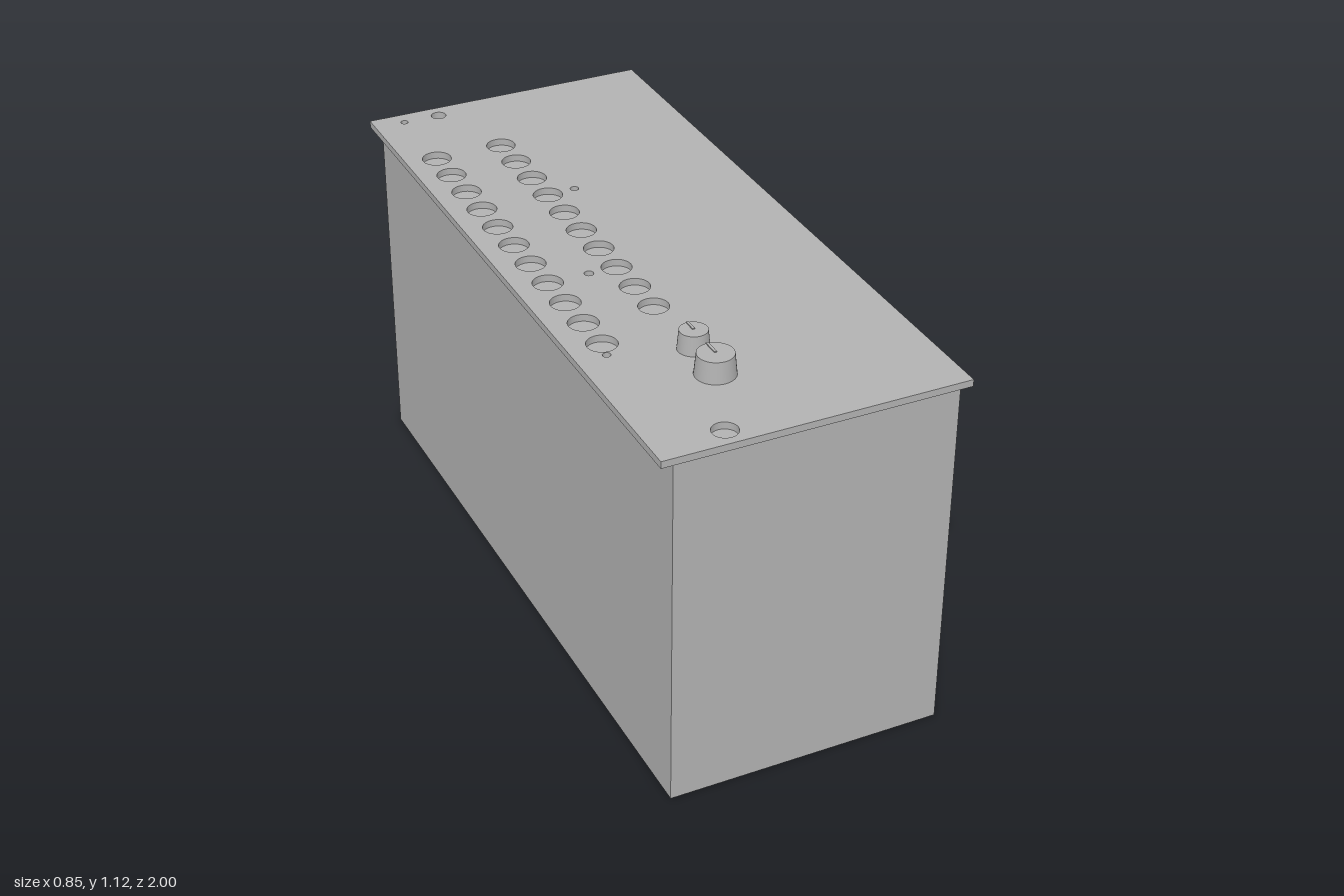
import * as THREE from 'three';

export function createModel() {
  const group = new THREE.Group();
  const grey = new THREE.MeshStandardMaterial({ color: 0xb2b2b2 });
  grey.name = 'grey';

  const add = (name, geometry, x = 0, y = 0, z = 0, parent = group) => {
    const mesh = new THREE.Mesh(geometry, grey);
    mesh.name = name;
    mesh.position.set(x, y, z);
    parent.add(mesh);
    return mesh;
  };

  const bodyTop = 1.035, panelTop = 1.055;

  // Closed cabinet body
  add('cabinet', new THREE.BoxGeometry(0.786, bodyTop, 1.988), 0, bodyTop / 2, 0.002);

  // Hole positions: [x, z, radius]
  const holes = [
    [-0.337, -0.95, 0.011],
    [-0.229, -0.95, 0.022],
    [-0.053, -0.348, 0.012],
    [-0.214, 0.112, 0.013],
    [-0.343, 0.509, 0.011],
    [-0.23, 0.942, 0.035],
  ];
  // Two long rows of socket holes, very slightly skewed
  for (let i = 0; i < 11; i++) {
    const z = -0.687 + i * 0.1141;
    holes.push([-0.336 + i * 0.0005, z, 0.0415]);
    if (i < 10) holes.push([-0.137 + i * 0.0005, z, 0.0415]);
  }

  // Overhanging top panel with drilled holes
  const outline = new THREE.Shape();
  outline.moveTo(-0.427, -1).lineTo(0.427, -1).lineTo(0.427, 1).lineTo(-0.427, 1).closePath();
  for (const [x, z, r] of holes) {
    outline.holes.push(new THREE.Path().absarc(x, -z, r, 0, Math.PI * 2, true));
  }
  const panel = new THREE.ExtrudeGeometry(outline, {
    depth: panelTop - bodyTop, bevelEnabled: false, curveSegments: 24,
  });
  panel.rotateX(-Math.PI / 2);
  add('topPanel', panel, 0, bodyTop);

  // Tapered knobs with a thin pointer line towards the back
  const addKnob = (name, x, z, rTop, rBottom, height) => {
    const knob = new THREE.Group();
    knob.name = name;
    knob.position.set(x, panelTop, z);
    group.add(knob);
    add('knobBody', new THREE.CylinderGeometry(rTop, rBottom, height, 40), 0, height / 2, 0, knob);
    add('pointer', new THREE.BoxGeometry(0.007, 0.004, rTop), 0, height + 0.001, -rTop / 2, knob);
  };
  addKnob('largeKnob', -0.136, 0.703, 0.049, 0.055, 0.06);
  addKnob('smallKnob', -0.132, 0.572, 0.038, 0.043, 0.055);

  return group;
}
